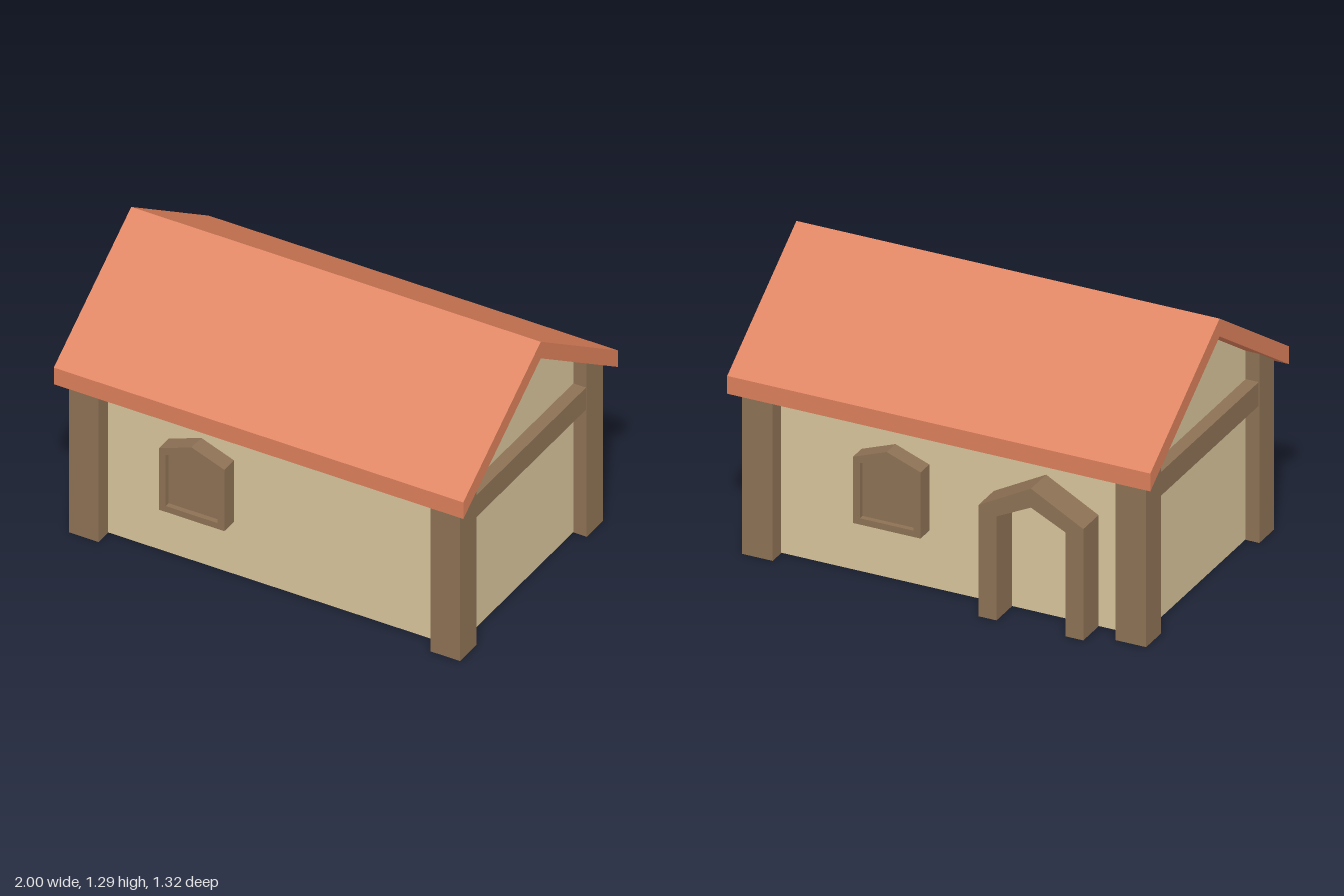
import * as THREE from 'three';

const mat = (color) => new THREE.MeshStandardMaterial({ color, flatShading: true });

const toShape = (pts) => new THREE.Shape(pts.map(([a, b]) => new THREE.Vector2(a, b)));

function extrude(shape, depth) {
  return new THREE.ExtrudeGeometry(shape, { depth, bevelEnabled: false });
}

// Extrudes a (z, y) profile along x, from x0 to x1
function alongX(pts, x0, x1) {
  return extrude(toShape(pts), x1 - x0).rotateY(-Math.PI / 2).translate(x1, 0, 0);
}

// House-shaped outline: straight sides, pointed top
const pointed = (x0, x1, base, shoulder, peak) => [
  [x0, base], [x1, base], [x1, shoulder], [(x0 + x1) / 2, peak], [x0, shoulder],
];

export function createModel() {
  const model = new THREE.Group();
  model.name = 'cottage';
  const house = new THREE.Group();
  house.name = 'house';
  house.position.z = 0.007;
  model.add(house);

  const plaster = mat(0xd6c399);
  const wood = mat(0x8d7154);
  const tile = mat(0xdb7f5a);

  const add = (name, geometry, material, parent = house) => {
    const mesh = new THREE.Mesh(geometry, material);
    mesh.name = name;
    parent.add(mesh);
    return mesh;
  };

  // Underside of the roof at distance z from the ridge
  const under = (z) => 1.21 - 0.666 * Math.abs(z);
  const thick = 0.085;
  const eave = 0.653;
  const wallZ = 0.523;

  // Gabled roof slab
  add('roof', alongX([
    [-eave, under(eave)], [0, under(0)], [eave, under(eave)],
    [eave, under(eave) + thick], [0, under(0) + thick], [-eave, under(eave) + thick],
  ], -1, 1), tile);

  // Walls, gables and floor as one body
  add('walls', alongX([
    [-wallZ, 0.002], [wallZ, 0.002], [wallZ, under(wallZ)], [0, under(0)], [-wallZ, under(wallZ)],
  ], -0.89, 0.89), plaster);

  // Corner posts cut to the roof slope, and a tie beam at each end
  for (const sx of [-1, 1]) {
    const x0 = sx > 0 ? 0.81 : -0.955;
    for (const sz of [-1, 1]) {
      const a = 0.465 * sz, b = 0.603 * sz;
      add('cornerPost', alongX([[a, 0], [b, 0], [b, under(b)], [a, under(a)]], x0, x0 + 0.145), wood);
    }
    const beam = add('tieBeam', new THREE.BoxGeometry(0.08, 0.113, 0.93), wood);
    beam.position.set(sx * 0.912, 0.709, 0);
  }

  // One window on each long side: raised frame and recessed shutter
  for (const [name, x, turn] of [['frontWindow', -0.355, 0], ['backWindow', 0.27, Math.PI]]) {
    const win = new THREE.Group();
    win.name = name;
    win.position.x = x;
    win.rotation.y = turn;
    house.add(win);
    const outline = toShape(pointed(-0.16, 0.16, 0.27, 0.585, 0.645));
    const inner = pointed(-0.127, 0.127, 0.3, 0.562, 0.61);
    outline.holes.push(new THREE.Path(inner.map(([a, b]) => new THREE.Vector2(a, b))));
    add('windowFrame', extrude(outline, 0.095).translate(0, 0, 0.51), wood, win);
    add('windowShutter', extrude(toShape(inner), 0.07).translate(0, 0, 0.51), wood, win);
  }

  // Door surround with a pointed top on the back wall
  const door = toShape([
    [-0.69, 0], [-0.605, 0], [-0.605, 0.495], [-0.4425, 0.575], [-0.28, 0.495], [-0.28, 0],
    [-0.195, 0], [-0.195, 0.53], [-0.4425, 0.665], [-0.69, 0.53],
  ]);
  add('doorFrame', extrude(door, 0.157).translate(0, 0, -0.667), wood);

  return model;
}
